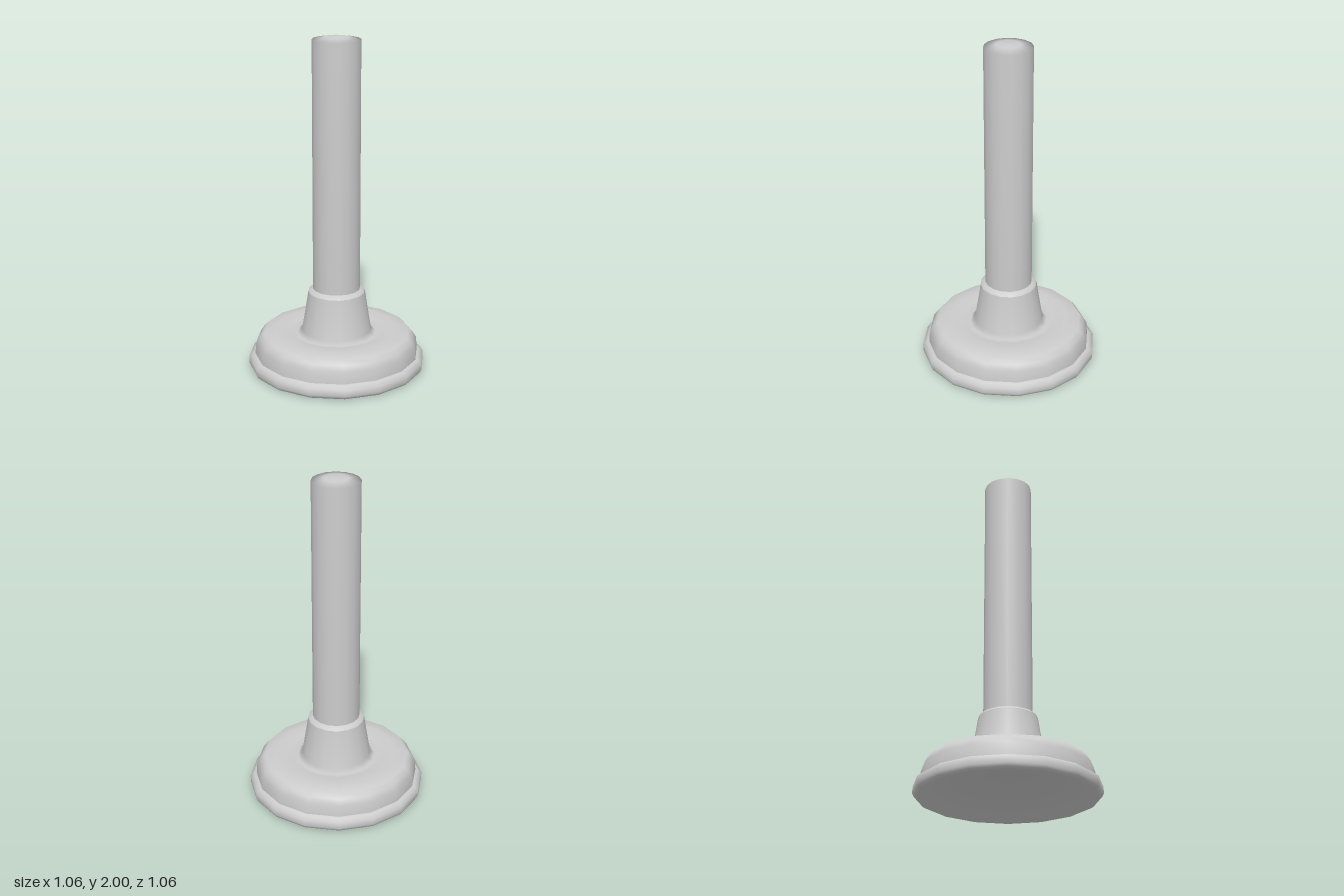
import * as THREE from 'three';

const SIDES = 16;
const material = new THREE.MeshStandardMaterial({ color: 0xcccccc, side: THREE.DoubleSide });

// Revolves a smooth [radius, height] profile; separate profiles meet in a crease
function turned(name, profile) {
  const points = profile.map(([r, y]) => new THREE.Vector2(r, y));
  const mesh = new THREE.Mesh(new THREE.LatheGeometry(points, SIDES), material);
  mesh.name = name;
  return mesh;
}

export function createModel() {
  const model = new THREE.Group();
  model.name = 'plunger';

  // Rubber cup: shallow domed underside, rolled lip, rounded bell flowing into the neck
  const cup = new THREE.Group();
  cup.name = 'cup';
  cup.add(
    turned('underside', [[0, 0.13], [0.14, 0.122], [0.28, 0.098], [0.4, 0.062], [0.508, 0]]),
    turned('lip', [[0.508, 0], [0.522, 0.008], [0.53, 0.025], [0.53, 0.062], [0.507, 0.079], [0.492, 0.084]]),
    turned('bellAndNeck', [[0.492, 0.084], [0.486, 0.155], [0.465, 0.187], [0.44, 0.215], [0.36, 0.226],
      [0.28, 0.218], [0.235, 0.208], [0.208, 0.23], [0.17, 0.47]]),
    turned('neckTop', [[0.17, 0.47], [0.163, 0.48], [0.138, 0.492]])
  );
  model.add(cup);

  // Long handle with a softly crowned end
  model.add(turned('handle', [[0.141, 0.32], [0.141, 1.982], [0.07, 1.995], [0, 2]]));

  return model;
}
